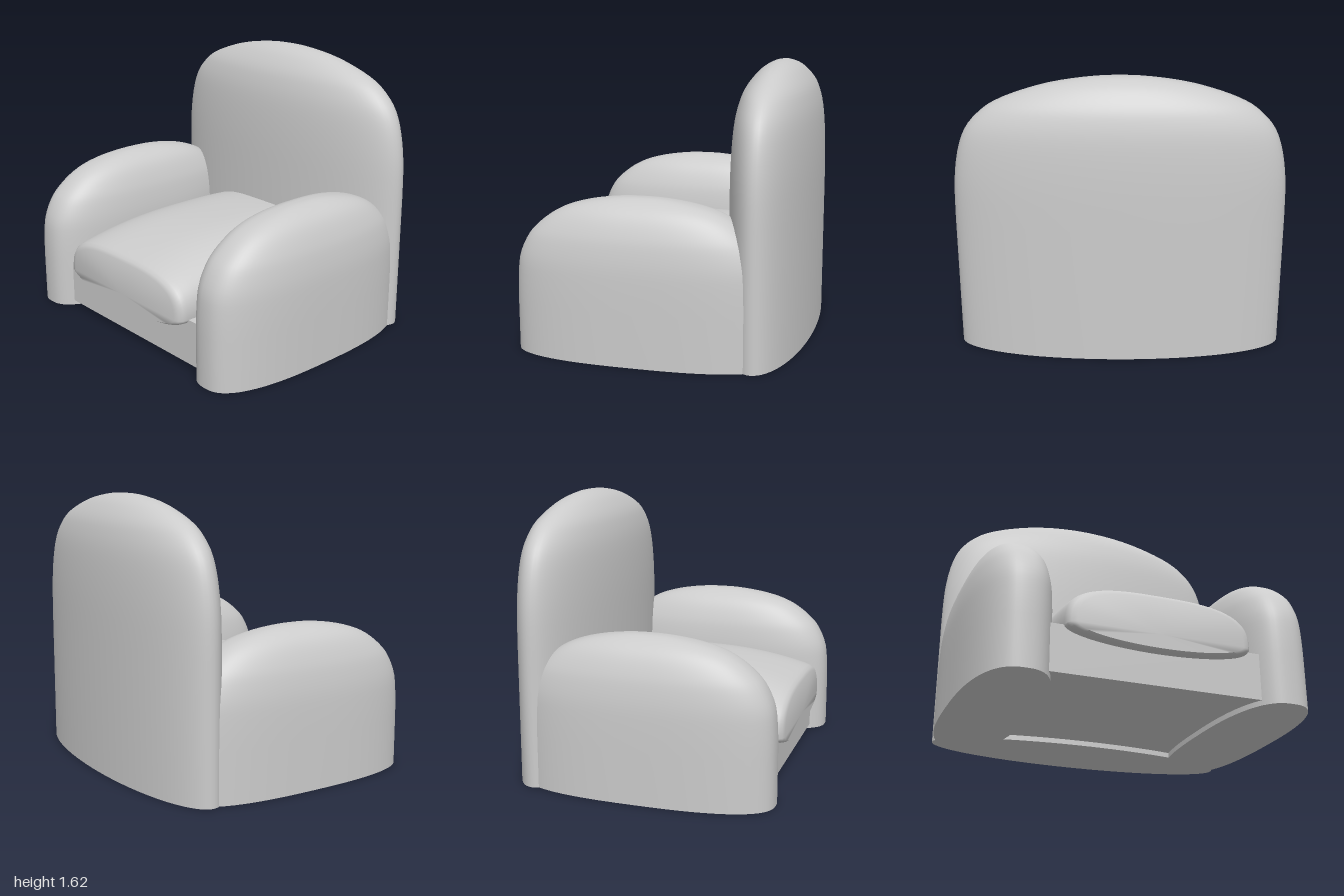
import * as THREE from 'three';
import { mergeVertices, toCreasedNormals } from 'three/addons/utils/BufferGeometryUtils.js';

const material = new THREE.MeshStandardMaterial({ color: 0xcccccc });

// Signed power, turns a circle into a superellipse
const bend = (v, n) => Math.sign(v) * Math.abs(v) ** (2 / n);

// Unit lathe of [scale, height] points whose vertices are moved by a rule:
// place(scale, height, cos, sin) -> [x, y, z]
function shapedLathe(profile, place) {
  const points = profile.map(([s, h]) => new THREE.Vector2(s, h));
  let geo = new THREE.LatheGeometry(points, 72);
  const pos = geo.attributes.position;
  for (let i = 0; i < pos.count; i++) {
    const x = pos.getX(i), z = pos.getZ(i), s = Math.hypot(x, z);
    const [c, d] = s > 1e-6 ? [x / s, z / s] : [0, 0];
    pos.setXYZ(i, ...place(s, pos.getY(i), c, d));
  }
  geo.deleteAttribute('uv');
  geo.deleteAttribute('normal');
  geo = mergeVertices(geo, 1e-5);
  return toCreasedNormals(geo, 0.8);
}

// Upright padded slab: flat bottom, superellipse plan, domed top
function pad(halfX, halfZ, n, dome) {
  const curve = new THREE.SplineCurve(dome.map(([s, y]) => new THREE.Vector2(s, y)));
  const side = curve.getPoints(28).map((p) => [Math.max(p.x, 0), p.y]);
  return shapedLathe([[0, 0], [1, 0], ...side], (s, y, c, d) =>
    [halfX * s * bend(c, n), y, halfZ * s * bend(d, n)]);
}

function add(group, name, geometry, x = 0, y = 0, z = 0) {
  const mesh = new THREE.Mesh(geometry, material);
  mesh.name = name;
  mesh.position.set(x, y, z);
  group.add(mesh);
}

export function createModel() {
  const chair = new THREE.Group();
  chair.name = 'armchair';

  // Tall backrest
  add(chair, 'backrest', pad(0.245, 0.935, 2, [
    [1, 0.8], [0.993, 1.02], [0.963, 1.2], [0.91, 1.33], [0.82, 1.425], [0.72, 1.485],
    [0.567, 1.54], [0.396, 1.583], [0.18, 1.613], [0, 1.62]]), 0.565);

  // Two matching armrests
  const arm = pad(0.735, 0.24, 2.6, [
    [1, 0.3], [0.995, 0.42], [0.975, 0.55], [0.91, 0.66], [0.83, 0.73], [0.707, 0.8],
    [0.57, 0.848], [0.39, 0.883], [0.17, 0.906], [0, 0.91]]);
  for (const side of [-1, 1]) {
    add(chair, side < 0 ? 'armrestBack' : 'armrestFront', arm, -0.08, 0, side * 0.755);
  }

  // Base, raised slightly off the floor
  add(chair, 'base', new THREE.BoxGeometry(1.3, 0.27, 1.22), -0.085, 0.165, 0);

  // Seat cushion: lathe laid along x, crowned on top and gently bulged below
  const profile = [[0, -0.8], [0.9, -0.8], [0.96, -0.79], [0.99, -0.77]];
  for (let i = 0; i <= 16; i++) profile.push([1, -0.74 + i * 0.075]);
  profile.push([0, 0.46]);
  add(chair, 'seatCushion', shapedLathe(profile, (s, x, c, d) => {
    const crown = 0.34 * (1 - 0.33 * (Math.abs(x) / 0.8) ** 2.6);
    const [height, n] = c > 0 ? [crown, 3] : [0.09, 2];
    return [x, 0.3 + s * height * bend(c, n), -0.535 * s * bend(d, n)];
  }));

  return chair;
}
